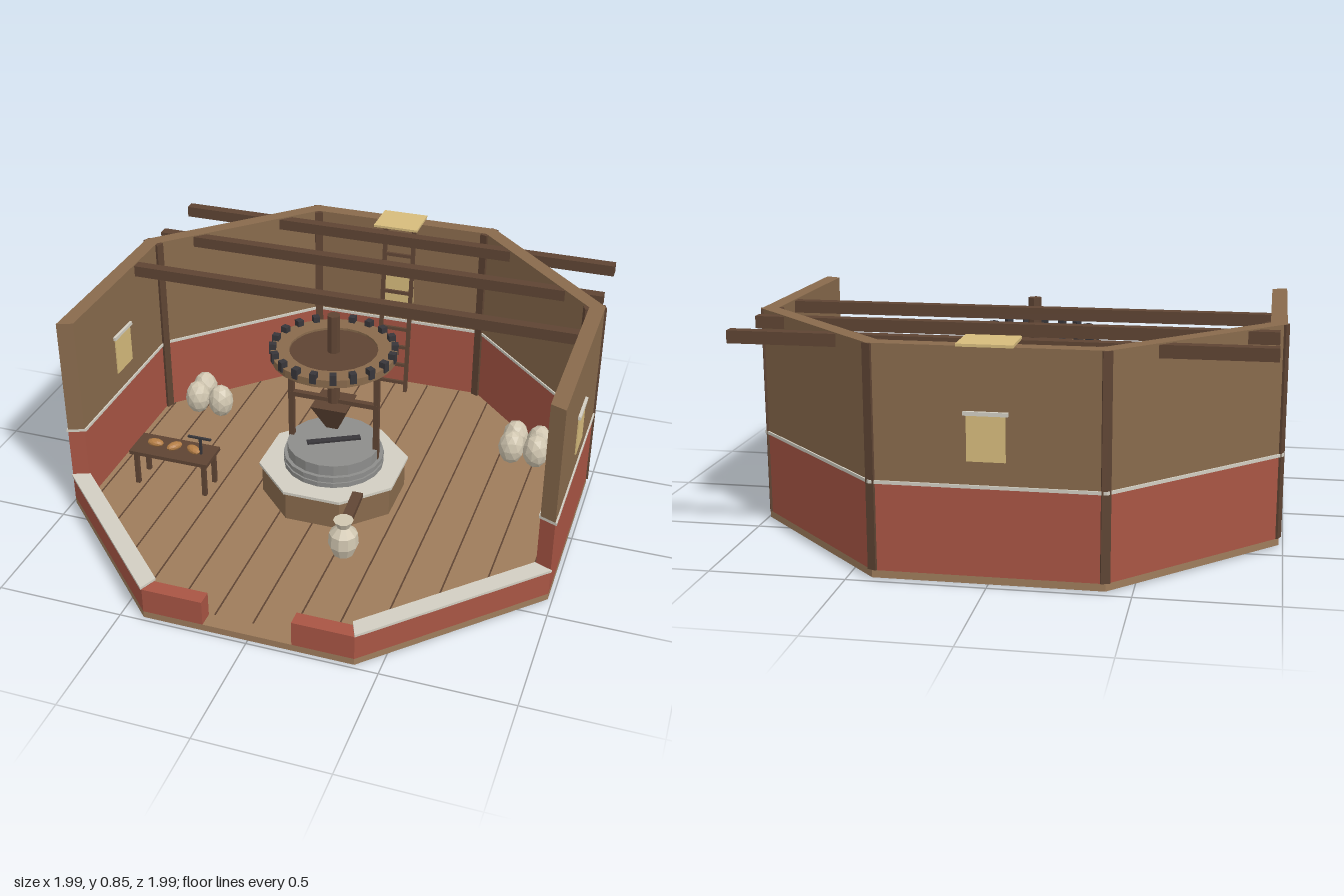
import * as THREE from 'three';

const WOOD = 0x886a4c, DARK = 0x5e4433, RED = 0xa85544, WHITE = 0xd2cec2, FLOOR = 0x9e7c5b,
  TAN = 0xd6bb7c, STONE = 0x8d8d8b, SACK = 0xd0c6b0, IRON = 0x38363a, BREAD = 0xb37d45;
const mats = {};
const mat = (color) => (mats[color] ??= new THREE.MeshStandardMaterial({ color, flatShading: true }));

function add(parent, name, geo, color, x = 0, y = 0, z = 0) {
  const m = new THREE.Mesh(geo, mat(color));
  m.name = name;
  m.position.set(x, y, z);
  parent.add(m);
  return m;
}
const box = (parent, name, color, w, h, d, x, y, z) =>
  add(parent, name, new THREE.BoxGeometry(w, h, d), color, x, y, z);

const T = Math.tan(Math.PI / 8), APO = 0.985, INNER = 0.925;

// Horizontal outline (x, z) extruded from y0 to y1
function prism(points, y0, y1) {
  const shape = new THREE.Shape(points.map(([x, z]) => new THREE.Vector2(x, -z)));
  return new THREE.ExtrudeGeometry(shape, { depth: y1 - y0, bevelEnabled: false })
    .rotateX(-Math.PI / 2).translate(0, y0, 0);
}
// One mitred side of the octagon
const side = (y0, y1, grow = 0) => {
  const o = APO + grow, i = INNER - grow;
  return prism([[-o * T, o], [o * T, o], [i * T, i], [-i * T, i]], y0, y1);
};
// Octagonal block with flat sides facing the axes
const octagon = (apothem, h) =>
  new THREE.CylinderGeometry(apothem / Math.cos(Math.PI / 8), apothem / Math.cos(Math.PI / 8), h, 8).rotateY(Math.PI / 8);

function buildRoom(g) {
  add(g, 'floor', octagon(APO, 0.027), FLOOR, 0, 0.0215, 0);
  // Dark gaps between planks, clipped to the octagon
  for (let i = -6; i <= 6; i++) {
    const x = i * 0.15;
    const len = 2 * Math.min(0.92, 1.31 - Math.abs(x));
    box(g, 'plankGap', DARK, 0.006, 0.002, len, x, 0.0355, 0);
  }
  for (let k = 1; k < 8; k++) {
    const s = new THREE.Group();
    s.name = 'wallSide';
    s.rotation.y = k * Math.PI / 4;
    g.add(s);
    if (k === 1 || k === 7) {
      add(s, 'lowWall', side(0.035, 0.138), RED);
      add(s, 'lowWallCap', side(0.138, 0.148, 0.005), WHITE);
      continue;
    }
    add(s, 'lowerWall', side(0.035, 0.35), RED);
    add(s, 'wallTrim', side(0.35, 0.362, 0.006), WHITE);
    add(s, 'upperWall', side(0.362, 0.84), WOOD);
    if (k % 2 === 0) {
      box(s, 'window', TAN, 0.135, 0.16, 0.07, 0, 0.525, 0.955);
      box(s, 'windowLintel', WHITE, 0.155, 0.014, 0.082, 0, 0.612, 0.955);
    }
  }
  // Posts in the rear corners
  for (let k = 2; k < 6; k++) {
    const s = new THREE.Group();
    s.name = 'cornerPost';
    s.rotation.y = (k + 0.5) * Math.PI / 4;
    g.add(s);
    box(s, 'post', DARK, 0.034, 0.803, 0.086, 0, 0.4375, 1.025);
  }
  // Front wall stubs beside the entrance
  for (const d of [-1, 1]) {
    add(g, 'entranceWall', prism([[0.172 * d, APO], [APO * T * d, APO], [INNER * T * d, INNER], [0.172 * d, INNER]], 0.035, 0.136), RED);
  }
  // Roof beams
  for (const [z, len] of [[-0.81, 1.92], [-0.522, 1.92], [-0.179, 1.86]])
    box(g, 'roofBeam', DARK, len, 0.046, 0.044, 0, 0.812, z);
}

function buildMill(g) {
  add(g, 'millBase', octagon(0.272, 0.125), WOOD, 0, 0.0975, 0);
  add(g, 'millBaseTop', octagon(0.283, 0.012), WHITE, 0, 0.164, 0);
  // Stacked millstones
  for (const [r, y0, y1] of [[0.205, 0.17, 0.19], [0.198, 0.19, 0.2], [0.205, 0.2, 0.218], [0.19, 0.218, 0.263]])
    add(g, 'millstone', new THREE.CylinderGeometry(r, r, y1 - y0, 20), STONE, 0, (y0 + y1) / 2, 0);
  box(g, 'stoneBar', IRON, 0.22, 0.01, 0.026, 0, 0.267, 0).rotation.y = 0.5;
  // Frame and hopper
  for (const d of [-1, 1]) box(g, 'framePost', DARK, 0.022, 0.5, 0.022, 0.18 * d, 0.415, 0);
  box(g, 'frameBar', DARK, 0.38, 0.02, 0.024, 0, 0.46, 0);
  add(g, 'hopper', new THREE.CylinderGeometry(0.105, 0.034, 0.115, 4).rotateY(Math.PI / 4), DARK, 0, 0.395, 0);
  add(g, 'shaft', new THREE.CylinderGeometry(0.026, 0.026, 0.395, 8), DARK, 0, 0.645, 0);
  // Gear wheel with upright cogs
  const ring = new THREE.LatheGeometry([[0.175, 0.66], [0.25, 0.66], [0.25, 0.692], [0.175, 0.692], [0.175, 0.66]]
    .map(([x, y]) => new THREE.Vector2(x, y)), 24);
  add(g, 'gearRim', ring, WOOD);
  add(g, 'gearDisc', new THREE.CylinderGeometry(0.18, 0.18, 0.02, 24), DARK, 0, 0.673, 0);
  for (let i = 0; i < 20; i++) {
    const a = i * Math.PI / 10;
    box(g, 'cog', IRON, 0.026, 0.042, 0.028, 0.24 * Math.sin(a), 0.695, 0.24 * Math.cos(a)).rotation.y = a;
  }
  // Flour chute and the sack under it
  box(g, 'chute', DARK, 0.042, 0.022, 0.19, 0.175, 0.165, 0.315).rotation.x = 0.2;
  const profile = [[0, 0], [0.042, 0], [0.06, 0.045], [0.056, 0.095], [0.026, 0.125], [0.04, 0.155], [0, 0.155]];
  add(g, 'flourSack', new THREE.LatheGeometry(profile.map(([x, y]) => new THREE.Vector2(x, y)), 10), SACK, 0.178, 0.035, 0.412);
}

function buildSacks(g) {
  const spots = [[-0.37, -0.81], [-0.26, -0.81], [-0.77, -0.46], [-0.77, -0.375], [-0.66, -0.375],
    [0.655, -0.505], [0.76, -0.495], [0.655, -0.42], [0.76, -0.42]];
  spots.forEach(([x, z], i) => {
    const s = add(g, 'grainSack', new THREE.IcosahedronGeometry(0.056, 1), SACK, x, 0.111, z);
    s.scale.y = 1.38;
    s.rotation.y = i * 0.7;
  });
}

function buildTable(g) {
  const t = new THREE.Group();
  t.name = 'table';
  t.position.set(-0.635, 0, 0.173);
  g.add(t);
  box(t, 'tableTop', DARK, 0.345, 0.016, 0.145, 0, 0.19, 0);
  for (const x of [-0.15, 0.15]) for (const z of [-0.052, 0.052])
    box(t, 'tableLeg', DARK, 0.018, 0.15, 0.018, x, 0.109, z);
  for (const [x, a] of [[-0.085, 0], [0, 0.95], [0.085, -0.5]]) {
    const b = add(t, 'breadLoaf', new THREE.IcosahedronGeometry(0.036, 1), BREAD, x, 0.212, 0);
    b.scale.set(1, 0.45, 0.58);
    b.rotation.y = a;
  }
  // Small balance
  box(t, 'balancePost', IRON, 0.01, 0.075, 0.01, 0.118, 0.234, 0);
  box(t, 'balanceArm', IRON, 0.1, 0.008, 0.01, 0.115, 0.274, 0);
}

function buildLadder(g) {
  const l = new THREE.Group();
  l.name = 'ladder';
  l.position.set(0, 0.425, -0.877);
  l.rotation.x = -0.1;
  g.add(l);
  for (const d of [-1, 1]) box(l, 'ladderRail', DARK, 0.016, 0.85, 0.018, 0.065 * d, 0, 0);
  for (let i = 0; i < 9; i++) box(l, 'ladderRung', DARK, 0.13, 0.014, 0.014, 0, -0.35 + i * 0.088, 0);
  box(g, 'hatch', TAN, 0.195, 0.01, 0.168, 0, 0.846, -0.92);
}

export function createModel() {
  const model = new THREE.Group();
  model.name = 'millRoom';
  const inside = new THREE.Group();
  inside.name = 'interior';
  inside.position.z = 0.005;
  model.add(inside);
  buildRoom(inside);
  buildMill(inside);
  buildSacks(inside);
  buildTable(inside);
  buildLadder(inside);
  return model;
}
